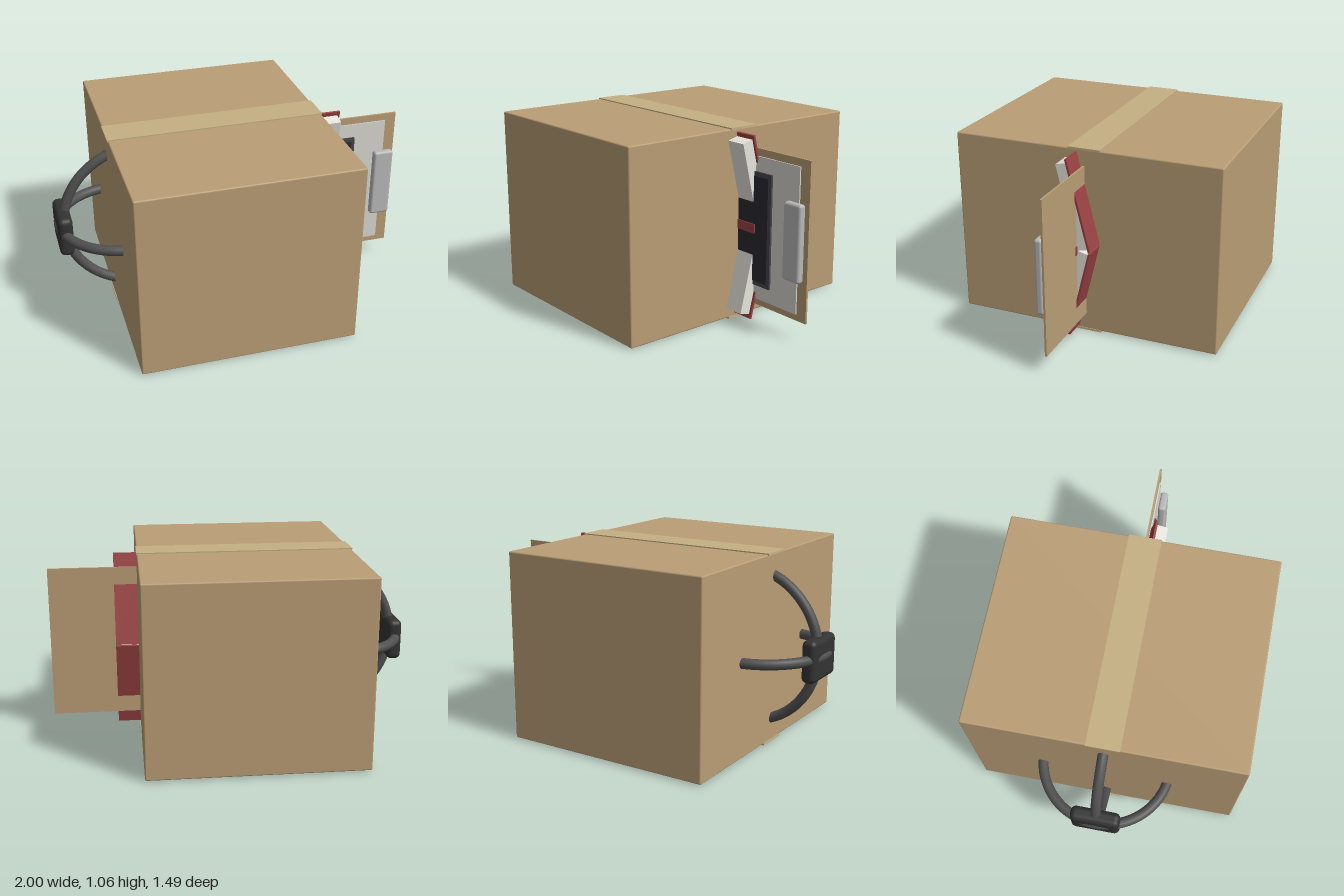
import * as THREE from 'three';
import { RoundedBoxGeometry } from 'three/addons/geometries/RoundedBoxGeometry.js';

const MID = 0.53; // mid height of the carton

export function createModel() {
  const model = new THREE.Group();
  const mat = (color) => new THREE.MeshStandardMaterial({ color });
  const cardboard = mat(0xb99d75), tape = mat(0xc4b083), red = mat(0x9c4244);
  const paper = mat(0xe6e4dc), panel = mat(0xd8d6d0), frame = mat(0x46464a);
  const screen = mat(0x2a2b31), metal = mat(0xb8b8b8), cable = mat(0x505050), rubber = mat(0x333333);

  const add = (name, geometry, material, parent = model) => {
    const mesh = new THREE.Mesh(geometry, material);
    mesh.name = name;
    parent.add(mesh);
    return mesh;
  };
  // box given by its min and max corners; r > 0 rounds the edges
  const block = (name, a, b, material, parent, r = 0) => {
    const s = b.map((v, i) => v - a[i]);
    const geo = r ? new RoundedBoxGeometry(...s, 3, r) : new THREE.BoxGeometry(...s);
    const mesh = add(name, geo, material, parent);
    mesh.position.set(...b.map((v, i) => (v + a[i]) / 2));
    return mesh;
  };

  // carton with tape over the top and bottom seams
  block('carton', [-0.685, 0.007, -0.745], [0.508, 1.05, 0.745], cardboard, model, 0.008);
  block('topTape', [-0.689, 1.044, -0.09], [0.511, 1.056, 0.09], tape);
  block('bottomTape', [-0.689, 0, -0.09], [0.511, 0.012, 0.09], tape);

  // two crossing cable loops on the side, held by a central clamp
  const loop = (name, cx, r, vertical) => {
    const end = Math.acos((-0.67 - cx) / -r);
    const points = [];
    for (let i = 0; i <= 16; i++) {
      const t = end * (i / 8 - 1), x = cx - r * Math.cos(t), o = r * Math.sin(t);
      points.push(vertical ? new THREE.Vector3(x, MID + o, 0) : new THREE.Vector3(x, MID, o));
    }
    add(name, new THREE.TubeGeometry(new THREE.CatmullRomCurve3(points), 48, 0.028, 14), cable);
  };
  loop('verticalCable', -0.515, 0.43, true);
  loop('horizontalCable', -0.618, 0.352, false);
  block('cableClamp', [-0.988, 0.405, -0.135], [-0.908, 0.635, 0.135], rubber, model, 0.03);

  // board standing out of the other side, with layered panels and a latch
  block('backBoard', [0.45, 0.105, -0.004], [1, 0.96, 0.007], cardboard);
  block('lightPanel', [0.45, 0.14, 0.006], [0.935, 0.92, 0.014], panel);
  block('screenFrame', [0.45, 0.22, 0.012], [0.747, 0.84, 0.025], frame);
  block('screen', [0.45, 0.243, 0.02], [0.727, 0.817, 0.028], screen);
  block('latch', [0.867, 0.325, 0.014], [0.985, 0.738, 0.058], metal, model, 0.015);

  // open book passing through the board: two covers with page blocks
  for (const s of [1, -1]) {
    const half = new THREE.Group();
    half.name = s > 0 ? 'upperBookHalf' : 'lowerBookHalf';
    half.position.set(0, MID, -0.08);
    half.rotation.x = s * 0.243;
    model.add(half);
    const slab = (name, x, y0, y1, z0, z1, m) => block(name,
      [0.45, Math.min(s * y0, s * y1), z0], [x, Math.max(s * y0, s * y1), z1], m, half);
    slab('cover', 0.636, 0.003, 0.517, -0.006, 0.006, red);
    slab('pages', 0.622, 0.017, 0.494, 0.006, 0.07, paper);
  }
  block('bookSpine', [0.45, 0.506, -0.008], [0.636, 0.556, 0.034], red);

  return model;
}
